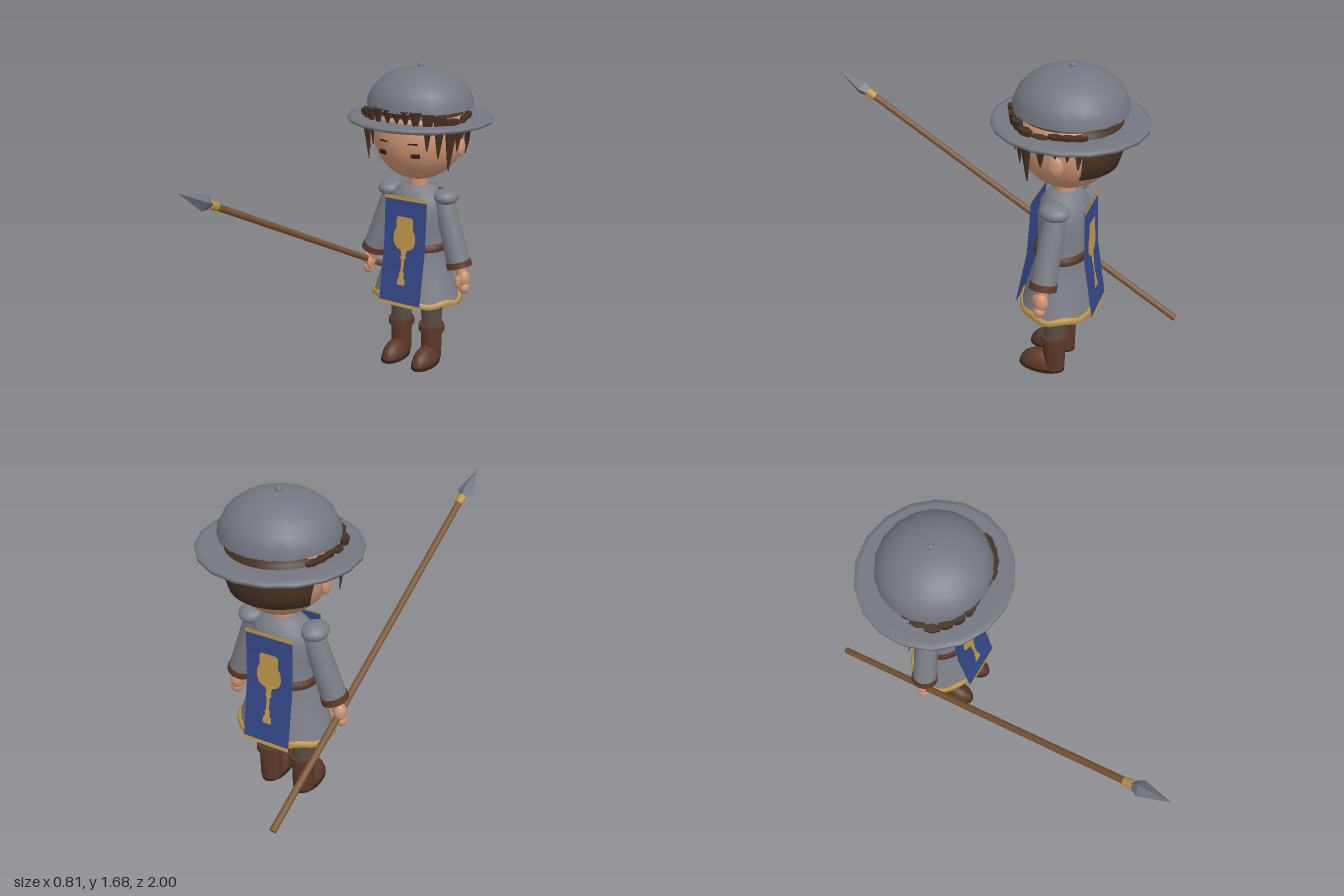
import * as THREE from 'three';

const V = (x, y, z) => new THREE.Vector3(x, y, z);
const material = (name, color, side = THREE.FrontSide) =>
  new THREE.MeshStandardMaterial({ name, color, side });
const M = {
  steel: material('steel', 0x747781, THREE.DoubleSide),
  cloth: material('grey cloth', 0x7b7e86, THREE.DoubleSide),
  blue: material('blue cloth', 0x344889, THREE.DoubleSide),
  gold: material('gold trim', 0xbf9848, THREE.DoubleSide),
  skin: material('skin', 0xcc9472),
  hair: material('brown hair', 0x453122, THREE.DoubleSide),
  leather: material('leather', 0x5b3828),
  wood: material('wood', 0x7a5634),
  trousers: material('trousers', 0x5a4e44),
  dark: material('dark brown', 0x33231c),
};

function mesh(parent, name, geo, mat, pos = [0, 0, 0], scale = [1, 1, 1]) {
  const m = new THREE.Mesh(geo, mat);
  m.name = name;
  m.position.set(...pos);
  m.scale.set(...scale);
  parent.add(m);
  return m;
}

const ball = (parent, name, mat, pos, radii) =>
  mesh(parent, name, new THREE.SphereGeometry(1, 20, 14), mat, pos, radii);

const lathe = (pts, seg = 24, start = 0, len = Math.PI * 2) =>
  new THREE.LatheGeometry(pts.map(p => new THREE.Vector2(...p)), seg, start, len);

const flat = geo => {
  const g = geo.toNonIndexed();
  g.computeVertexNormals();
  return g;
};

// Tapered cylinder from a to b
function limb(parent, name, a, b, ra, rb, mat, seg = 16) {
  const m = mesh(parent, name, new THREE.CylinderGeometry(rb, ra, a.distanceTo(b), seg), mat);
  m.position.copy(a).add(b).multiplyScalar(0.5);
  m.quaternion.setFromUnitVectors(V(0, 1, 0), b.clone().sub(a).normalize());
  return m;
}

// Depth of the hanging tabard panel at height y
function panelZ(y) {
  return y > 0.7 ? 0.147 - (y - 0.7) * 0.05 : 0.147 + (0.7 - y) * 0.175;
}

// Symmetric strip from rows of [y, halfWidth], draped over the tabard
function strip(rows, lift) {
  const pos = [], index = [];
  rows.forEach(([y, w], i) => {
    const z = panelZ(y) + lift;
    pos.push(-w, y, z, w, y, z);
    const k = i * 2;
    if (i) index.push(k - 2, k, k - 1, k - 1, k, k + 1);
  });
  const g = new THREE.BufferGeometry();
  g.setAttribute('position', new THREE.Float32BufferAttribute(pos, 3));
  g.setIndex(index);
  g.computeVertexNormals();
  return g;
}

function buildTunic(body) {
  mesh(body, 'tunic', lathe([[0.25, 0.395], [0.215, 0.5], [0.18, 0.6], [0.158, 0.7], [0.16, 0.8],
    [0.163, 0.9], [0.148, 0.97], [0.1, 1.02], [0.045, 1.03]], 28), M.cloth, [0, 0, 0], [1, 1, 0.77]);
  mesh(body, 'belt', lathe([[0.15, 0.68], [0.173, 0.68], [0.173, 0.718], [0.15, 0.718]], 28),
    M.leather, [0, 0, 0], [1, 1, 0.8]);
  // Wavy hem
  const hem = lathe([[0.245, 0.388], [0.262, 0.385], [0.256, 0.412], [0.24, 0.412]], 64);
  const p = hem.attributes.position;
  for (let i = 0; i < p.count; i++) {
    p.setY(i, p.getY(i) + 0.008 * Math.sin(7 * Math.atan2(p.getX(i), p.getZ(i))));
  }
  hem.computeVertexNormals();
  mesh(body, 'hem', hem, M.gold, [0, 0, 0], [1, 1, 0.77]);

  const cup = [[0.875, 0.04], [0.865, 0.05], [0.81, 0.05], [0.785, 0.063], [0.74, 0.067], [0.71, 0.055],
    [0.7, 0.045], [0.69, 0.02], [0.665, 0.012], [0.65, 0.018], [0.64, 0.009], [0.575, 0.008],
    [0.565, 0.016], [0.545, 0.012], [0.53, 0.022], [0.505, 0.024], [0.5, 0.015]];
  for (const side of ['front', 'back']) {
    const tabard = new THREE.Group();
    tabard.name = side + 'Tabard';
    if (side === 'back') tabard.rotation.y = Math.PI;
    body.add(tabard);
    mesh(tabard, 'panel', strip([[0.98, 0.125], [0.7, 0.125], [0.39, 0.125]], 0), M.blue);
    mesh(tabard, 'topTrim', strip([[0.985, 0.127], [0.966, 0.127]], 0.004), M.gold);
    mesh(tabard, 'bottomTrim', strip([[0.402, 0.127], [0.383, 0.127]], 0.004), M.gold);
    mesh(tabard, 'cupOrnament', strip(cup, 0.004), M.gold);
  }
}

function buildArm(body, s) {
  const arm = new THREE.Group();
  arm.name = s > 0 ? 'leftArm' : 'rightArm';
  body.add(arm);
  const top = V(s * 0.15, 0.97, 0), end = V(s * 0.265, 0.615, 0.015);
  const at = t => top.clone().lerp(end, t);
  limb(arm, 'sleeve', end, top, 0.064, 0.055, M.cloth);
  ball(arm, 'shoulderPad', M.cloth, [s * 0.17, 0.98, 0], [0.066, 0.043, 0.076]);
  limb(arm, 'cuff', at(1.03), at(0.94), 0.07, 0.068, M.leather);
  limb(arm, 'wrist', V(s * 0.285, 0.55, 0.015), end, 0.026, 0.03, M.skin);
  ball(arm, 'palm', M.skin, [s * 0.293, 0.54, 0.015], [0.033, 0.05, 0.036]);
  ball(arm, 'fingers', M.skin, [s * 0.3, 0.492, 0.02], [0.03, 0.034, 0.03]);
  ball(arm, 'thumb', M.skin, [s * 0.275, 0.53, 0.048], [0.016, 0.036, 0.017]);
}

function buildLeg(body, s) {
  const leg = new THREE.Group();
  leg.name = s > 0 ? 'leftLeg' : 'rightLeg';
  leg.position.x = s * 0.096;
  body.add(leg);
  limb(leg, 'trouserLeg', V(0, 0.18, -0.005), V(0, 0.52, 0), 0.054, 0.068, M.trousers);
  limb(leg, 'bootShaft', V(0, 0.015, -0.008), V(0, 0.2, -0.005), 0.056, 0.06, M.leather);
  limb(leg, 'bootCuff', V(0, 0.185, -0.005), V(0, 0.22, -0.005), 0.073, 0.073, M.leather);
  mesh(leg, 'bootFoot', new THREE.SphereGeometry(1, 20, 8, 0, Math.PI * 2, 0, Math.PI / 2), M.leather,
    [0, 0.012, 0.06], [0.062, 0.092, 0.118]);
  mesh(leg, 'sole', new THREE.CylinderGeometry(1, 1, 1, 20), M.dark, [0, 0.009, 0.058], [0.066, 0.018, 0.123]);
}

const HEAD_Y = 1.3, RX = 0.24, RY = 0.24, RZ = 0.245;

function buildHead(body) {
  limb(body, 'neck', V(0, 1.0, 0), V(0, 1.12, 0), 0.052, 0.048, M.skin);
  ball(body, 'head', M.skin, [0, HEAD_Y, -0.005], [RX, RY, RZ]);

  // Thin plate laid on the face
  const plate = (name, x, y, w, h) => {
    const dy = y - HEAD_Y;
    const z = RZ * Math.sqrt(1 - (x / RX) ** 2 - (dy / RY) ** 2);
    const m = mesh(body, name, new THREE.BoxGeometry(w, h, 0.008), M.dark, [x, y, z - 0.003]);
    m.lookAt(m.position.clone().add(V(x / RX ** 2, dy / RY ** 2, z / RZ ** 2)));
  };
  // Hanging tuft of hair: angle from the front, top, bottom, half width, distance out
  const lock = (deg, top, bottom, w, r) => {
    const pivot = new THREE.Group();
    pivot.name = 'hairLock';
    pivot.rotation.y = THREE.MathUtils.degToRad(deg);
    body.add(pivot);
    const m = mesh(pivot, 'lock', flat(new THREE.CylinderGeometry(w * 0.8, 0.004, top - bottom, 6, 2)), M.hair,
      [0, (top + bottom) / 2, r], [1, 1, 0.5]);
    m.rotation.x = 0.08;
  };
  lock(0, 1.47, 1.4, 0.045, 0.243);
  for (const s of [-1, 1]) {
    plate('eye', s * 0.095, 1.237, 0.048, 0.022);
    plate('eyebrow', s * 0.085, 1.3, 0.05, 0.007);
    ball(body, 'ear', M.skin, [s * 0.238, 1.255, -0.015], [0.02, 0.05, 0.038]);
    const locks = [[12, 1.47, 1.39, 0.04, 0.25], [24, 1.47, 1.36, 0.045, 0.265], [37, 1.46, 1.27, 0.045, 0.268],
      [50, 1.45, 1.23, 0.05, 0.27], [63, 1.43, 1.16, 0.055, 0.275], [78, 1.41, 1.25, 0.055, 0.262],
      [93, 1.42, 1.3, 0.05, 0.25], [106, 1.42, 1.29, 0.05, 0.25], [118, 1.42, 1.25, 0.05, 0.25]];
    for (const [deg, ...rest] of locks) lock(s * deg, ...rest);
  }
  mesh(body, 'hairCap', new THREE.SphereGeometry(0.262, 24, 8, 0, Math.PI * 2, 0, 1.08), M.hair, [0, HEAD_Y, 0]);
  mesh(body, 'backHair', lathe([[0.215, 1.195], [0.248, 1.195], [0.266, 1.26], [0.272, 1.33], [0.255, 1.42],
    [0.2, 1.43]], 12, Math.PI - 1.04, 2.08), M.hair);
}

function buildHelmet(body) {
  const dome = [];
  for (let i = 0; i <= 7; i++) {
    const a = (i / 7) * Math.PI / 2;
    dome.push([0.283 * Math.cos(a), 1.457 + 0.2 * Math.sin(a)]);
  }
  mesh(body, 'helmetDome', lathe(dome, 18), M.steel, [0, 0, -0.008], [1, 1, 0.975]);
  mesh(body, 'helmetBrim', lathe([[0.245, 1.4], [0.245, 1.37], [0.36, 1.374], [0.387, 1.383],
    [0.387, 1.398], [0.36, 1.405], [0.245, 1.4]], 18), M.steel, [0, 0, -0.01], [1, 1, 0.97]);
  ball(body, 'helmetKnob', M.steel, [0, 1.66, -0.008], [0.015, 0.017, 0.015]);
}

function buildSpear(parent) {
  const spear = new THREE.Group();
  spear.name = 'spear';
  const butt = V(-0.23, 0.23, -0.99), tip = V(-0.385, 1.285, 1);
  const length = butt.distanceTo(tip);
  spear.position.copy(butt);
  spear.quaternion.setFromUnitVectors(V(0, 1, 0), tip.clone().sub(butt).normalize());
  parent.add(spear);
  limb(spear, 'shaft', V(0, 0, 0), V(0, length - 0.21, 0), 0.017, 0.017, M.wood, 10);
  limb(spear, 'collar', V(0, length - 0.255, 0), V(0, length - 0.205, 0), 0.021, 0.024, M.gold, 10);
  mesh(spear, 'spearhead', flat(lathe([[0, 0], [0.022, 0], [0.042, 0.045], [0, 0.21]], 4)), M.steel,
    [0, length - 0.21, 0]);
}

export function createModel() {
  const model = new THREE.Group();
  model.name = 'spearGuard';
  const body = new THREE.Group();
  body.name = 'guard';
  body.position.set(0.018, 0, -0.43);
  model.add(body);
  buildTunic(body);
  for (const s of [-1, 1]) {
    buildArm(body, s);
    buildLeg(body, s);
  }
  buildHead(body);
  buildHelmet(body);
  buildSpear(model);
  return model;
}
